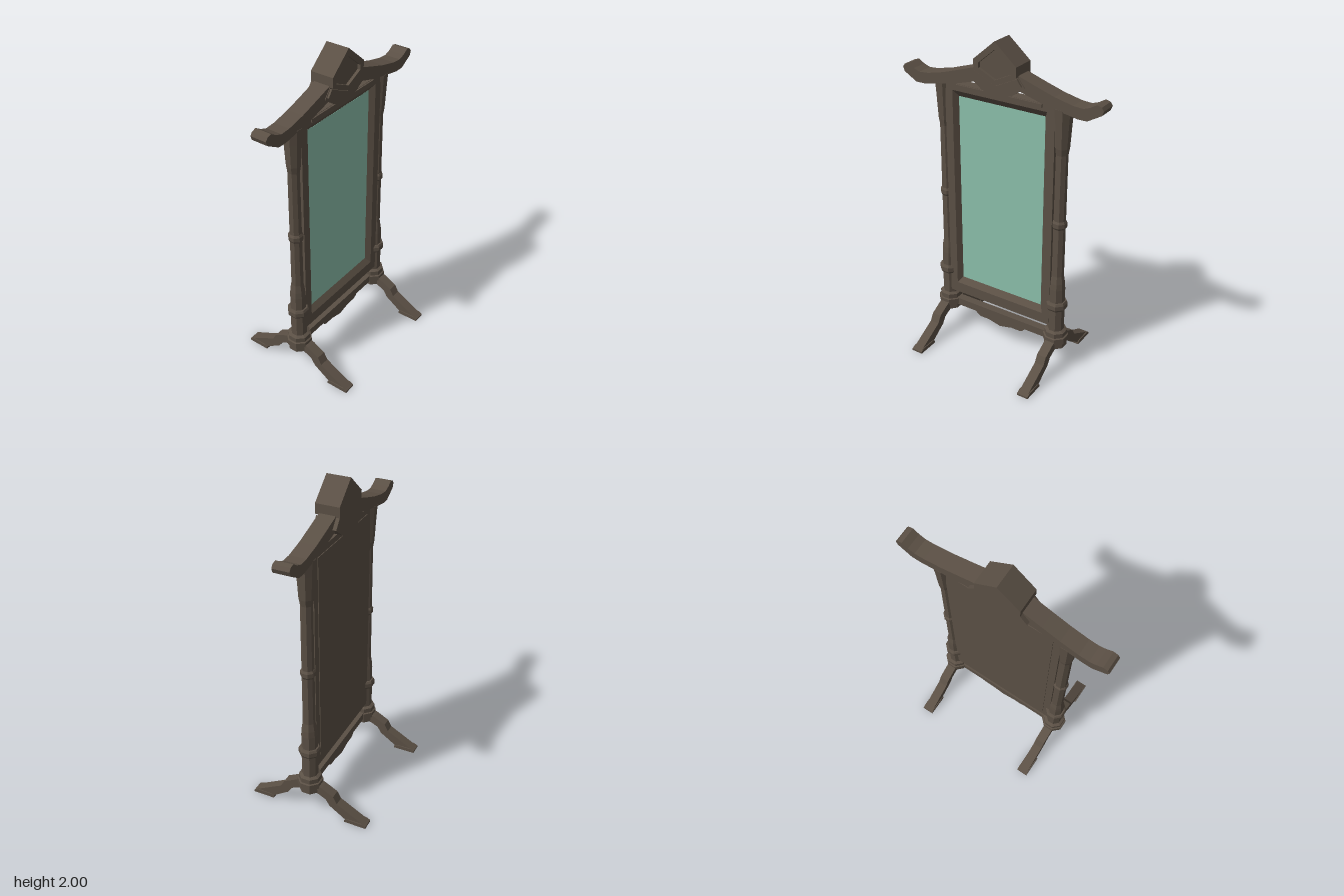
import * as THREE from 'three';

const wood = new THREE.MeshStandardMaterial({ color: 0x5b5045 });
wood.name = 'dark wood';
const glass = new THREE.MeshStandardMaterial({ color: 0x8cc0ab });
glass.name = 'green mirror glass';

// Faceted mesh: every face keeps its own normal
function part(name, geometry, material = wood) {
  const g = geometry.index ? geometry.toNonIndexed() : geometry;
  g.computeVertexNormals();
  const mesh = new THREE.Mesh(g, material);
  mesh.name = name;
  return mesh;
}

const shapeOf = (pts) => new THREE.Shape(pts.map(([x, y]) => new THREE.Vector2(x, y)));

// Flat outline extruded between two z values, with an optional hole
function slab(pts, z0, z1, hole) {
  const shape = shapeOf(pts);
  if (hole) shape.holes.push(shapeOf(hole));
  return new THREE.ExtrudeGeometry(shape, { depth: z1 - z0, bevelEnabled: false }).translate(0, 0, z0);
}

// Right half of an outline (top to bottom) mirrored to a closed one
function mirrored(half) {
  const other = half.filter(([x]) => x > 0).map(([x, y]) => [-x, y]).reverse();
  return [...half, ...other];
}

// Eight-sided turned piece; points are [radius, y] from bottom to top
function turned(pts) {
  return new THREE.LatheGeometry(pts.map(([r, y]) => new THREE.Vector2(r, y)), 8, Math.PI / 8);
}

const rect = (w, y0, y1) => [[-w, y0], [w, y0], [w, y1], [-w, y1]];

function ring(y, r, h) {
  return turned([[0.03, y - h], [r - 0.008, y - h], [r, y - h * 0.5], [r, y + h * 0.5], [r - 0.008, y + h], [0.03, y + h]]);
}

// Sloped moulding between two rectangular loops
function moulding(outer, zOuter, inner, zInner) {
  const v = [];
  for (let i = 0; i < 4; i++) {
    const j = (i + 1) % 4;
    const a = [...outer[i], zOuter], b = [...outer[j], zOuter];
    const c = [...inner[j], zInner], d = [...inner[i], zInner];
    v.push(...a, ...b, ...c, ...a, ...c, ...d);
  }
  const g = new THREE.BufferGeometry();
  g.setAttribute('position', new THREE.Float32BufferAttribute(v, 3));
  return g;
}

function makeFoot() {
  const foot = new THREE.Group();
  foot.name = 'foot';
  // Stepped leg, outline in (z, y)
  const leg = slab([[0.03, 0.16], [0.075, 0.145], [0.115, 0.125], [0.14, 0.085], [0.245, 0.015],
    [0.25, 0.005], [0.37, 0.005], [0.375, 0.014], [0.19, 0.115], [0.165, 0.16], [0.09, 0.2], [0.03, 0.225]], -0.03, 0.03);
  const pad = slab([[0.242, 0], [0.38, 0], [0.38, 0.012], [0.355, 0.024], [0.262, 0.024], [0.242, 0.014]], -0.036, 0.036);
  foot.add(part('leg', leg.rotateY(-Math.PI / 2)), part('footPad', pad.rotateY(-Math.PI / 2)));
  return foot;
}

function makePost(side) {
  const post = new THREE.Group();
  post.name = side > 0 ? 'leftPost' : 'rightPost';
  post.position.x = side * 0.39;
  // Shaft with thick foot and flared head
  post.add(part('shaft', turned([[0, 0.2], [0.05, 0.2], [0.048, 0.56], [0.045, 0.6], [0.037, 0.65], [0.035, 1.42],
    [0.042, 1.46], [0.05, 1.6], [0.056, 1.69], [0, 1.69]])));
  post.add(part('middleRing', ring(0.988, 0.045, 0.026)));
  post.add(part('lowerRing', ring(0.445, 0.066, 0.027)));
  // Hub that carries the feet
  post.add(part('hub', turned([[0, 0.135], [0.04, 0.135], [0.05, 0.155], [0.069, 0.155], [0.069, 0.188], [0.078, 0.192],
    [0.078, 0.228], [0.069, 0.232], [0.069, 0.262], [0.048, 0.272], [0, 0.272]])));
  const front = makeFoot();
  const back = makeFoot();
  back.rotation.y = Math.PI;
  post.add(front, back);
  return post;
}

export function createModel() {
  const model = new THREE.Group();
  model.name = 'standingMirror';

  for (const side of [-1, 1]) model.add(makePost(side));

  // Mirror frame, sloped inner moulding, back board and glass
  const opening = rect(0.31, 0.365, 1.658);
  const pane = rect(0.285, 0.4, 1.618);
  model.add(part('frame', slab(rect(0.36, 0.297, 1.7), -0.03, 0.036, opening)));
  model.add(part('innerMoulding', moulding(opening, 0.036, pane, 0.006)));
  model.add(part('backBoard', slab(rect(0.315, 0.36, 1.665), -0.034, 0)));
  model.add(part('mirrorGlass', slab(pane, 0.001, 0.007), glass));
  const lintel = new THREE.BoxGeometry(0.56, 0.02, 0.02).translate(0, 1.688, 0.035);
  model.add(part('lintelStrip', lintel));

  // Lower stretcher with a carved apron
  model.add(part('stretcher', new THREE.BoxGeometry(0.7, 0.048, 0.05).translate(0, 0.21, 0)));
  model.add(part('apron', slab(mirrored([[0.19, 0.19], [0.165, 0.163], [0.145, 0.155], [0.085, 0.155], [0, 0.135]]), -0.02, 0.02)));

  // Swept roof wings with upturned tips
  const wing = [[0.06, 1.765], [0.137, 1.747], [0.285, 1.704], [0.41, 1.68], [0.5, 1.664], [0.555, 1.664], [0.638, 1.712],
    [0.648, 1.738], [0.635, 1.757], [0.607, 1.765], [0.57, 1.742], [0.53, 1.728], [0.47, 1.732], [0.36, 1.757], [0.25, 1.792], [0.06, 1.855]];
  for (const side of [-1, 1]) {
    const g = slab(wing, -0.05, 0.05);
    if (side < 0) g.rotateY(Math.PI);
    model.add(part(side > 0 ? 'leftRoofWing' : 'rightRoofWing', g));
  }

  // Peaked crest: solid core, raised rim and lower chevron on the front
  const crest = mirrored([[0, 2], [0.137, 1.882], [0.137, 1.822], [0.18, 1.768], [0.1, 1.71], [0, 1.675]].reverse());
  model.add(part('crestCore', slab(crest, -0.072, 0.054)));
  const rim = mirrored([[0, 1.755], [0.137, 1.822], [0.137, 1.882], [0, 2]]);
  const recess = mirrored([[0, 1.785], [0.105, 1.835], [0.105, 1.865], [0, 1.955]]);
  model.add(part('crestRim', slab(rim, 0.05, 0.072, recess)));
  const chevron = mirrored([[0, 1.69], [0.12, 1.745], [0.165, 1.775], [0.137, 1.815], [0, 1.75]]
    .filter(([x]) => x > 0));
  chevron.splice(3, 0, [0, 1.75]);
  chevron.push([0, 1.69]);
  model.add(part('crestChevron', slab(chevron, 0.05, 0.066)));

  return model;
}
